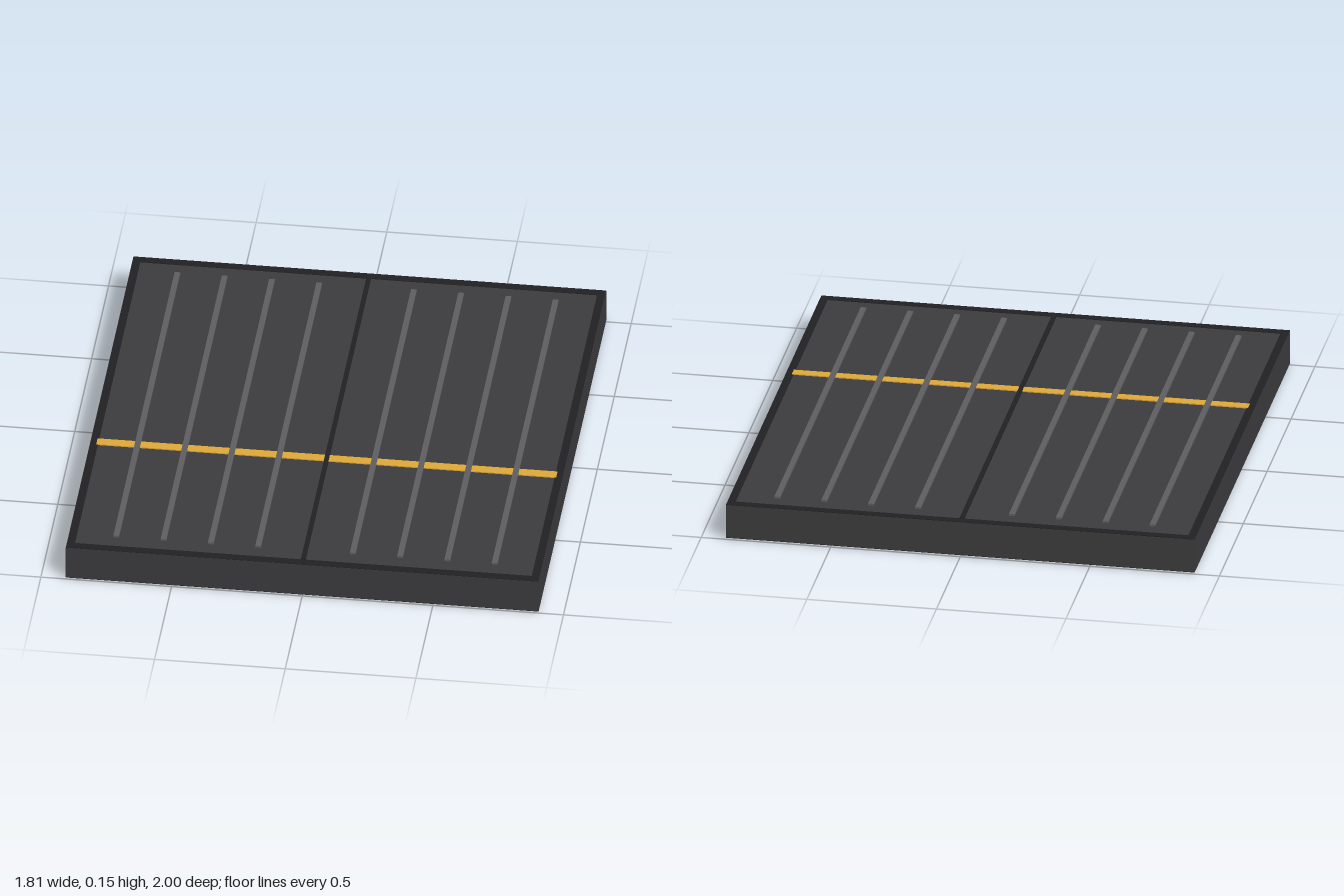
import * as THREE from 'three';

const MID = 0.075; // mid-height: every part passes through the slab and shows on both faces

export function createModel() {
  const group = new THREE.Group();
  const panelMat = new THREE.MeshStandardMaterial({ color: 0x3c3c3e });
  const frameMat = new THREE.MeshStandardMaterial({ color: 0x212124 });
  const ribMat = new THREE.MeshStandardMaterial({ color: 0x5e5e60 });
  const stripeMat = new THREE.MeshStandardMaterial({ color: 0xe0a93a });

  const box = (name, mat, w, h, d, x = 0, z = 0) => {
    const mesh = new THREE.Mesh(new THREE.BoxGeometry(w, h, d), mat);
    mesh.name = name;
    mesh.position.set(x, MID, z);
    group.add(mesh);
  };

  // main slab
  box('panel', panelMat, 1.81, 0.134, 2);

  // border, a hair inside the slab edge
  for (const s of [-1, 1]) {
    box('sideBorder', frameMat, 0.03, 0.138, 1.998, s * 0.889, 0);
    box('endBorder', frameMat, 1.748, 0.138, 0.034, 0, s * 0.982);
  }

  // seam between the two halves
  box('centreSeam', frameMat, 0.018, 0.144, 1.93);

  // marking stripe across the width, one piece per half
  for (const s of [-1, 1]) box('stripe', stripeMat, 0.873, 0.142, 0.04, s * 0.4435, 0.27);

  // raised ribs, four on each half
  for (const s of [-1, 1]) {
    for (let i = 1; i <= 4; i++) box('rib', ribMat, 0.022, 0.15, 1.81, s * i * 0.181, 0);
  }
  return group;
}
